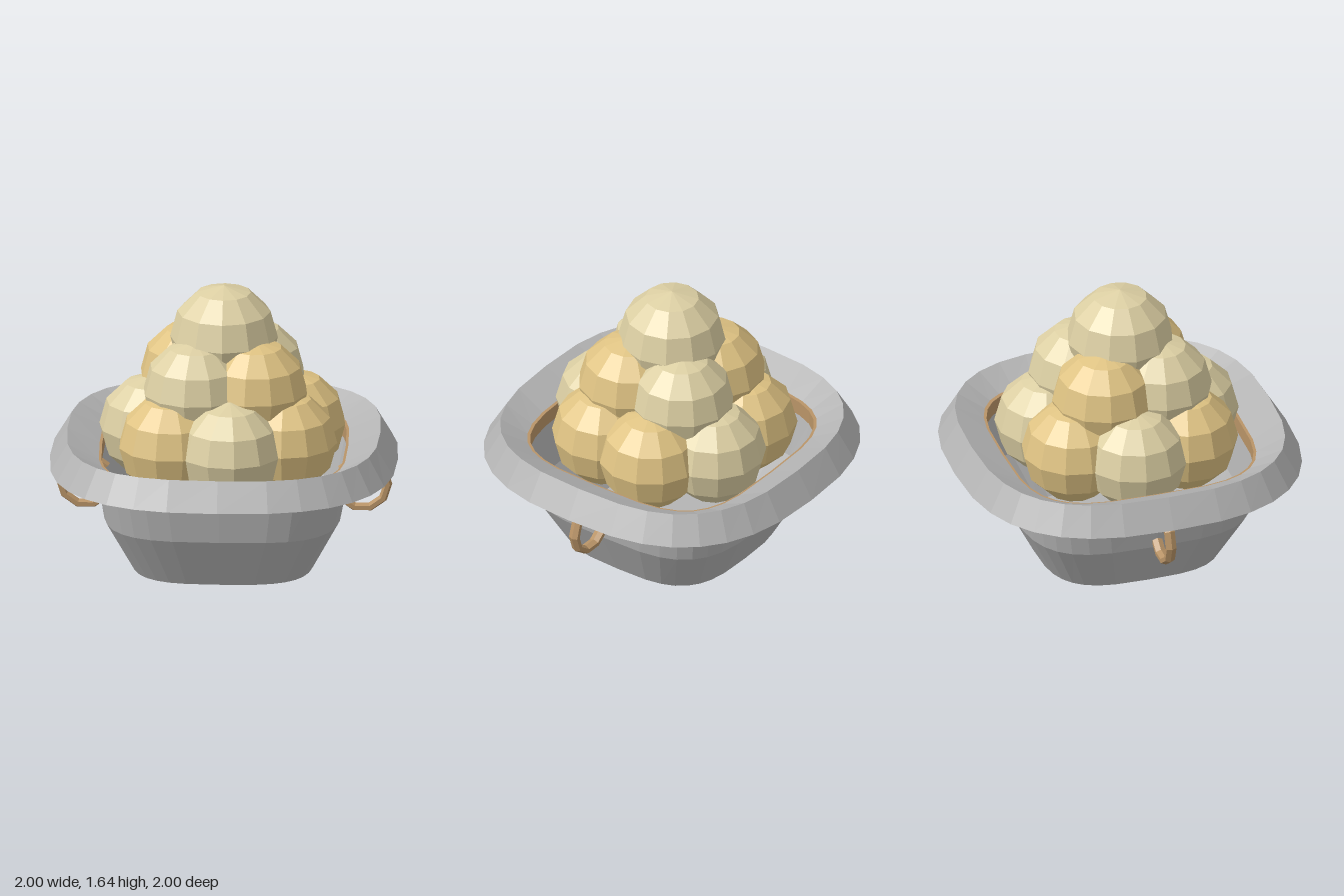
import * as THREE from 'three';

const mat = (name, color) => {
  const m = new THREE.MeshStandardMaterial({ color, flatShading: true });
  m.name = name;
  return m;
};

// Skins rounded-square rings; each ring is [radius, height, squareness]
function loft(rings, sides = 32) {
  const pos = [], index = [];
  const bend = (v, n) => Math.sign(v) * Math.pow(Math.abs(v), 2 / n);
  for (const [r, y, n] of rings) {
    for (let j = 0; j < sides; j++) {
      const t = (j / sides) * Math.PI * 2;
      pos.push(r * bend(Math.cos(t), n), y, r * bend(Math.sin(t), n));
    }
  }
  for (let i = 0; i < rings.length - 1; i++) {
    for (let j = 0; j < sides; j++) {
      const k = (j + 1) % sides;
      const a = i * sides + j, b = a + sides;
      const d = i * sides + k, c = d + sides;
      index.push(a, b, d, b, c, d);
    }
  }
  const g = new THREE.BufferGeometry();
  g.setAttribute('position', new THREE.Float32BufferAttribute(pos, 3));
  g.setIndex(index);
  const flat = g.toNonIndexed();
  flat.computeVertexNormals();
  return flat;
}

export function createModel() {
  const model = new THREE.Group();
  model.name = 'bowlOfBalls';
  const grey = mat('grey metal', 0xb4b4b4);
  const brass = mat('brass', 0xb99467);
  const golden = mat('golden dough', 0xdfc383);
  const pale = mat('pale dough', 0xdccfa3);

  const add = (name, geometry, material, parent = model) => {
    const mesh = new THREE.Mesh(geometry, material);
    mesh.name = name;
    parent.add(mesh);
    return mesh;
  };

  // Bowl with outer wall, inner wall and floor
  add('bowl', loft([
    [0, 0, 3.3], [0.525, 0, 3.3], [0.685, 0.31, 3.5], [0.73, 0.6, 3.7],
    [0.71, 0.6, 3.7], [0.655, 0.31, 3.5], [0.5, 0.04, 3.3], [0, 0.04, 3.3],
  ]), grey);

  // Brass band joining bowl and rim
  add('band', loft([
    [0.7, 0.58, 3.7], [0.745, 0.58, 3.7], [0.745, 0.67, 3.7],
    [0.7, 0.67, 3.7], [0.7, 0.58, 3.7],
  ]), brass);

  // Wide flared rim with a hollow underside
  add('rim', loft([
    [0.725, 0.67, 3.7], [1, 0.595, 2.65], [0.9, 0.76, 2.8],
    [0.715, 0.675, 3.7], [0.725, 0.67, 3.7],
  ]), grey);

  // Open ring handles, their ends set into the bowl
  const arc = Math.PI * 1.6;
  for (const [name, turn] of [['leftHandle', 0], ['rightHandle', Math.PI]]) {
    const holder = new THREE.Group();
    holder.name = name;
    holder.rotation.y = turn;
    model.add(holder);
    const ring = add(name + 'Ring', new THREE.TorusGeometry(0.148, 0.025, 6, 8, arc), brass, holder);
    ring.position.set(0.795, 0.447, 0);
    ring.rotation.z = -arc / 2;
    ring.scale.z = 1.35;
  }

  // Pile of faceted balls in three tiers
  const pile = new THREE.Group();
  pile.name = 'ballPile';
  model.add(pile);
  const tiers = [
    { name: 'lowerBall', count: 7, radius: 0.42, y: 0.77, start: 109.9, size: 0.303 },
    { name: 'middleBall', count: 4, radius: 0.245, y: 1.06, start: 50, size: 0.303 },
    { name: 'topBall', count: 1, radius: 0, y: 1.33, start: 0, size: 0.31 },
  ];
  for (const { name, count, radius, y, start, size } of tiers) {
    const geometry = new THREE.SphereGeometry(size, 12, 6);
    for (let i = 0; i < count; i++) {
      const angle = THREE.MathUtils.degToRad(start + (i * 360) / count);
      const material = count > 1 && i % 2 === 0 ? golden : pale;
      const ball = add(name, geometry, material, pile);
      ball.position.set(radius * Math.sin(angle), y, radius * Math.cos(angle));
      ball.rotation.y = angle;
    }
  }
  return model;
}
